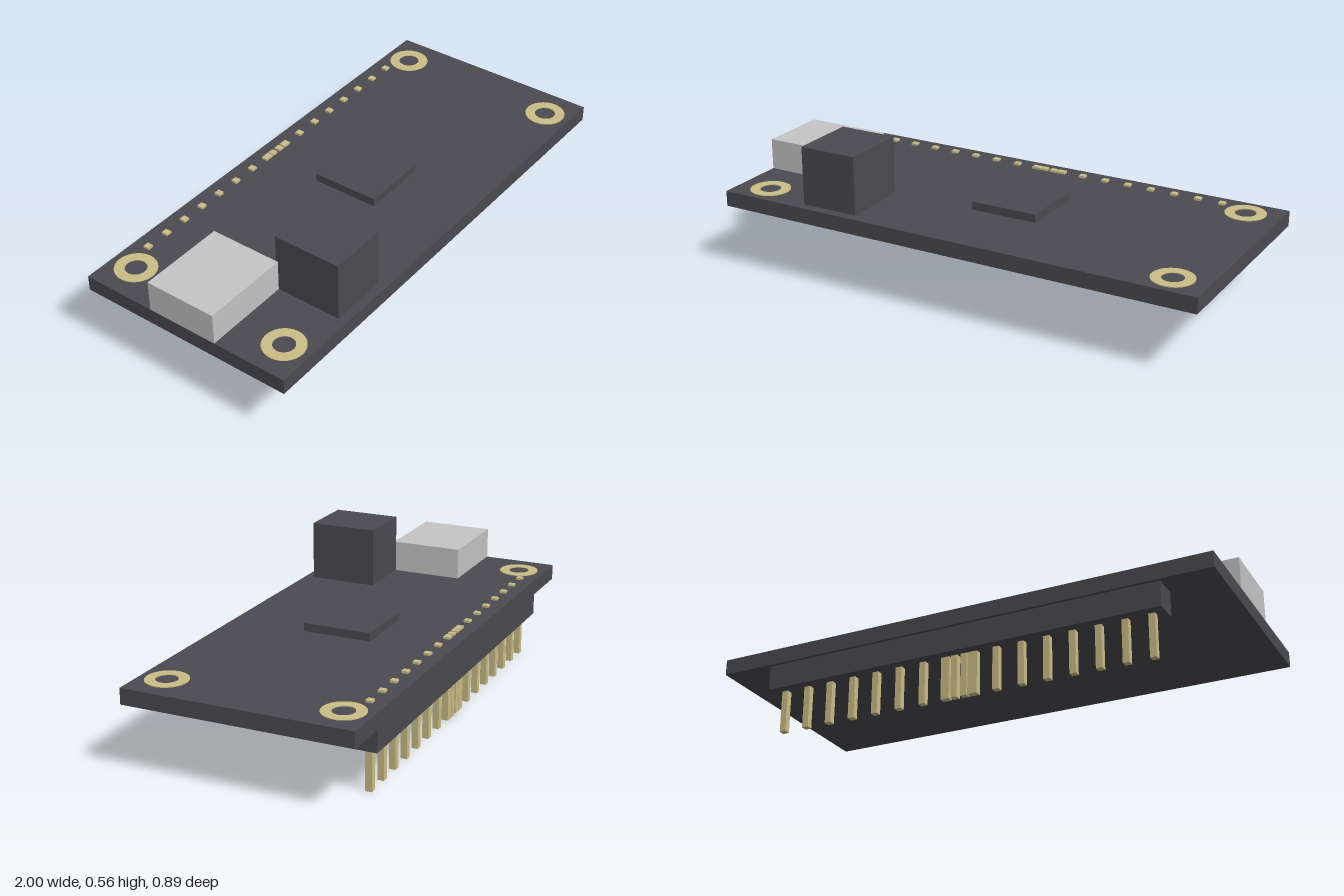
import * as THREE from 'three';

export function createModel() {
  const model = new THREE.Group();
  model.name = 'circuitBoard';

  const material = (name, color) => {
    const m = new THREE.MeshStandardMaterial({ color });
    m.name = name;
    return m;
  };
  const dark = material('dark plastic', 0x4a4a50);
  const silver = material('silver metal', 0xc4c4c4);
  const gold = material('gold metal', 0xcabd86);

  // Box given by its lower and upper limits on each axis
  const addBox = (name, mat, [x0, x1], [y0, y1], [z0, z1], parent = model) => {
    const mesh = new THREE.Mesh(new THREE.BoxGeometry(x1 - x0, y1 - y0, z1 - z0), mat);
    mesh.position.set((x0 + x1) / 2, (y0 + y1) / 2, (z0 + z1) / 2);
    mesh.name = name;
    parent.add(mesh);
  };

  const bottom = 0.265, top = 0.327;

  // Board and the components mounted on it
  addBox('board', dark, [-1, 1], [bottom, top], [-0.447, 0.447]);
  addBox('usbSocket', silver, [-1, -0.648], [top, 0.452], [-0.146, 0.146]);
  addBox('powerSocket', dark, [-0.648, -0.411], [top, 0.562], [0.137, 0.41]);
  addBox('chip', dark, [-0.06, 0.214], [top, 0.36], [-0.137, 0.137]);
  addBox('headerStrip', dark, [-0.8, 0.8], [0.167, bottom], [-0.434, -0.336]);

  // Header pins: an even row plus a tight cluster in the middle
  const pins = new THREE.Group();
  pins.name = 'headerPins';
  model.add(pins);
  const pinX = [-0.063, -0.021, 0.018, 0.059];
  for (let i = 0; i < 16; i++) pinX.push(-0.75 + i * 0.1);
  const half = 0.0125;
  for (const x of pinX) {
    addBox('pin', gold, [x - half, x + half], [0, 0.336], [-0.385 - half, -0.385 + half], pins);
  }

  // Plated rings at the four corners
  const ringShape = new THREE.Shape().absarc(0, 0, 0.08, 0, Math.PI * 2, false);
  ringShape.holes.push(new THREE.Path().absarc(0, 0, 0.041, 0, Math.PI * 2, true));
  const ringGeometry = new THREE.ExtrudeGeometry(ringShape, {
    depth: 0.003, bevelEnabled: false, curveSegments: 32,
  });
  ringGeometry.rotateX(-Math.PI / 2);
  for (const x of [-0.863, 0.863]) {
    for (const z of [-0.341, 0.341]) {
      const ring = new THREE.Mesh(ringGeometry, gold);
      ring.position.set(x, top, z);
      ring.name = 'mountingRing';
      model.add(ring);
    }
  }

  return model;
}
